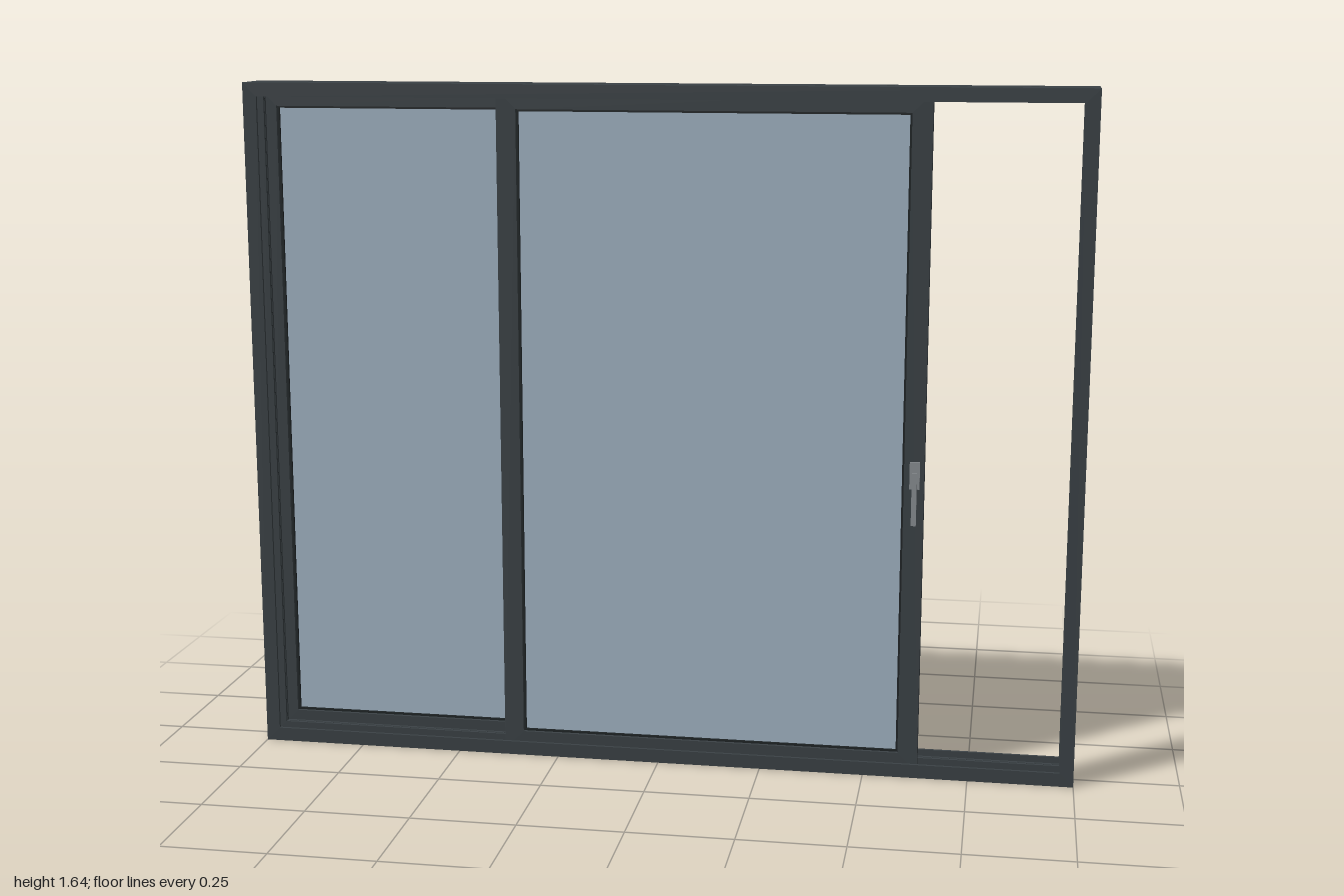
import * as THREE from 'three';

const dark = new THREE.MeshStandardMaterial({ color: 0x3b4246 });
const seal = new THREE.MeshStandardMaterial({ color: 0x1f2426 });
const glass = new THREE.MeshStandardMaterial({ color: 0xa2b5c5 });
const metal = new THREE.MeshStandardMaterial({ color: 0x8a8f93 });

const HEIGHT = 1.64;

function add(parent, name, geometry, material) {
  const mesh = new THREE.Mesh(geometry, material);
  mesh.name = name;
  parent.add(mesh);
  return mesh;
}

// Rectangular ring in the xy plane, from z0 to z1
function ring(x0, x1, y0, y1, border, z0, z1) {
  const rect = (Type, d) => {
    const path = new Type();
    path.moveTo(x0 + d, y0 + d);
    path.lineTo(x1 - d, y0 + d);
    path.lineTo(x1 - d, y1 - d);
    path.lineTo(x0 + d, y1 - d);
    path.closePath();
    return path;
  };
  const shape = rect(THREE.Shape, 0);
  shape.holes.push(rect(THREE.Path, border));
  return new THREE.ExtrudeGeometry(shape, { depth: z1 - z0, bevelEnabled: false }).translate(0, 0, z0);
}

function box(x0, x1, y0, y1, z0, z1) {
  return new THREE.BoxGeometry(x1 - x0, y1 - y0, z1 - z0)
    .translate((x0 + x1) / 2, (y0 + y1) / 2, (z0 + z1) / 2);
}

// One track of the outer frame: a channel open to the inside
function makeTrack(name, z0, z1) {
  const track = new THREE.Group();
  track.name = name;
  const lip = 0.007;
  add(track, 'trackBase', ring(-1, 1, 0, HEIGHT, 0.01, z0 + lip, z1 - lip), dark);
  add(track, 'backLip', ring(-1, 1, 0, HEIGHT, 0.033, z0, z0 + lip), dark);
  add(track, 'frontLip', ring(-1, 1, 0, HEIGHT, 0.033, z1 - lip, z1), dark);
  return track;
}

// Glazed panel with stiles, rails, dark seals and a pane
function makeSash(name, x0, x1, z0, z1) {
  const sash = new THREE.Group();
  sash.name = name;
  const y0 = 0.011, y1 = HEIGHT - 0.011, b = 0.047, mid = (z0 + z1) / 2;
  add(sash, 'sashFrame', ring(x0, x1, y0, y1, b, z0, z1), dark);
  add(sash, 'glassSeal', ring(x0 + b, x1 - b, y0 + b, y1 - b, 0.005, mid - 0.012, mid + 0.012), seal);
  add(sash, 'glassPane', box(x0 + b, x1 - b, y0 + b, y1 - b, mid - 0.007, mid + 0.007), glass);
  return sash;
}

// Lever handle on the closing stile
function makeHandle(x, z) {
  const handle = new THREE.Group();
  handle.name = 'handle';
  add(handle, 'handlePlate', box(x - 0.012, x + 0.012, 0.71, 0.775, z, z + 0.005), metal);
  const spindle = add(handle, 'handleSpindle', new THREE.CylinderGeometry(0.006, 0.006, 0.012, 16), metal);
  spindle.rotation.x = Math.PI / 2;
  spindle.position.set(x, 0.742, z + 0.01);
  add(handle, 'handleLever', box(x - 0.006, x + 0.006, 0.625, 0.75, z + 0.011, z + 0.018), metal);
  return handle;
}

export function createModel() {
  const model = new THREE.Group();
  model.name = 'slidingDoor';

  // Outer frame: two tracks with a narrow joint between them
  model.add(makeTrack('backTrack', -0.063, -0.006));
  model.add(makeTrack('frontTrack', -0.003, 0.054));
  add(model, 'trackJoint', ring(-0.996, 0.996, 0.004, HEIGHT - 0.004, 0.028, -0.007, -0.002), seal);

  // Fixed panel behind, sliding panel in front, partly open
  model.add(makeSash('fixedPanel', -0.989, 0.026, -0.054, -0.015));
  const sliding = makeSash('slidingPanel', -0.385, 0.63, 0.006, 0.045);
  sliding.add(makeHandle(0.608, 0.045));
  model.add(sliding);

  return model;
}
